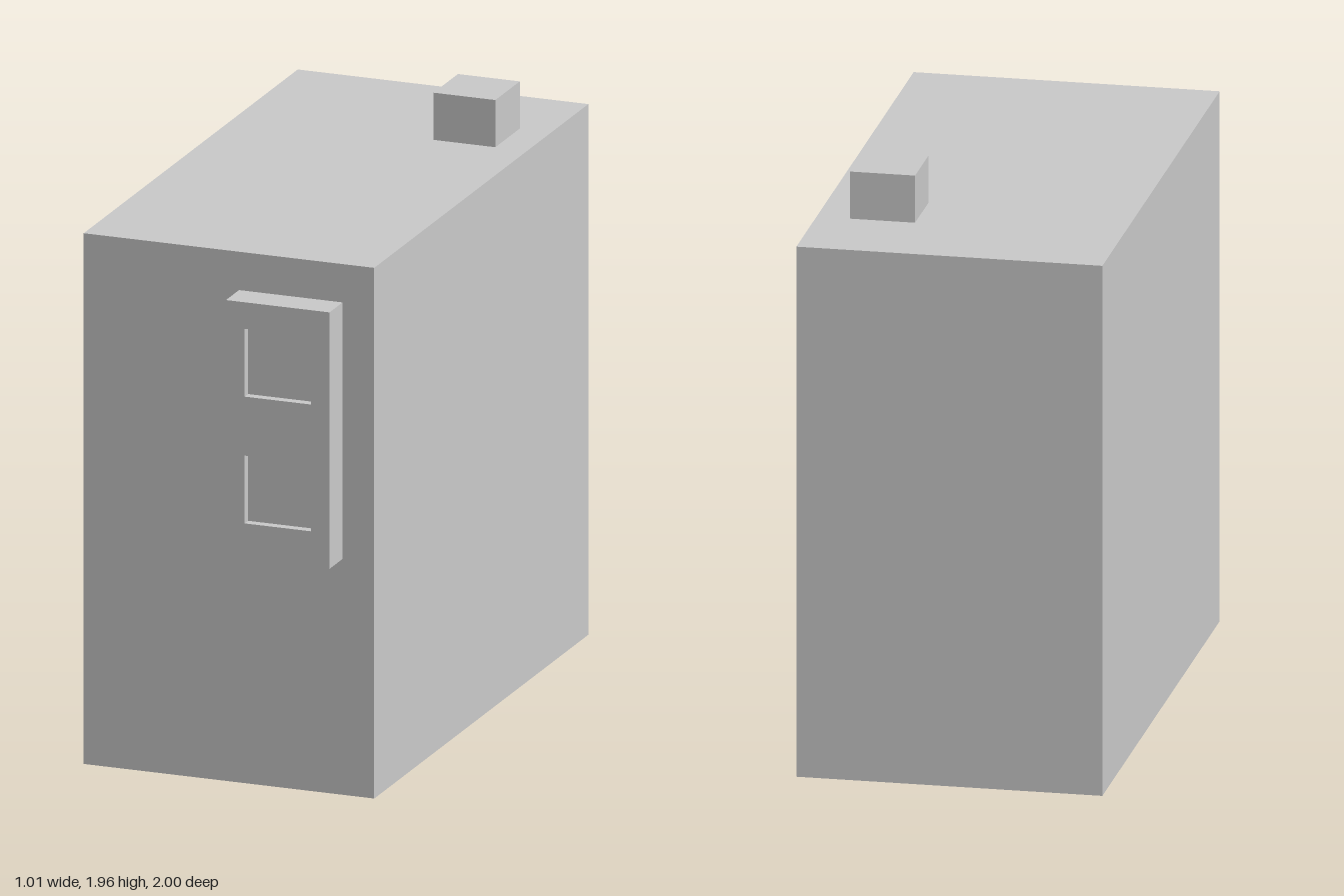
import * as THREE from 'three';

const grey = new THREE.MeshStandardMaterial({ color: 0xcccccc, flatShading: true });
const greyThin = new THREE.MeshStandardMaterial({ color: 0xcccccc, flatShading: true, side: THREE.DoubleSide });

// Box given by its minimum and maximum corners
function box(name, [x0, y0, z0], [x1, y1, z1], material = grey) {
  const geometry = new THREE.BoxGeometry(x1 - x0, y1 - y0, z1 - z0);
  const mesh = new THREE.Mesh(geometry, material);
  mesh.position.set((x0 + x1) / 2, (y0 + y1) / 2, (z0 + z1) / 2);
  mesh.name = name;
  return mesh;
}

function rectangle(PathType, x0, y0, x1, y1) {
  return new PathType([[x0, y0], [x1, y0], [x1, y1], [x0, y1]].map(([x, y]) => new THREE.Vector2(x, y)));
}

export function createModel() {
  const model = new THREE.Group();
  model.name = 'cabinet';

  // Thin shell, open underneath: the six indices of the bottom face are removed
  const body = box('body', [-0.505, 0, -1], [0.505, 1.8, 0.885], greyThin);
  const index = Array.from(body.geometry.index.array);
  index.splice(18, 6);
  body.geometry.setIndex(index);
  body.geometry.clearGroups();
  model.add(body);

  // Block on the roof
  model.add(box('roofBlock', [0.18, 1.8, -0.675], [0.395, 1.96, -0.46]));

  // Front panel: solid base with a pierced face plate, giving two shallow recesses
  const panel = new THREE.Group();
  panel.name = 'frontPanel';
  const recessFloor = 0.97;
  panel.add(box('panelBase', [0.035, 0.8, 0.885], [0.395, 1.67, recessFloor]));
  const plate = rectangle(THREE.Shape, 0.035, 0.8, 0.395, 1.67);
  for (const y of [0.92, 1.35]) plate.holes.push(rectangle(THREE.Path, 0.1, y, 0.33, y + 0.23));
  const face = new THREE.Mesh(
    new THREE.ExtrudeGeometry(plate, { depth: 1 - recessFloor, bevelEnabled: false }), grey);
  face.position.z = recessFloor;
  face.name = 'panelFace';
  panel.add(face);
  model.add(panel);

  // Small box on the inside of the front wall
  model.add(box('innerBox', [-0.33, 0.35, 0.825], [-0.15, 0.69, 0.885]));

  return model;
}
